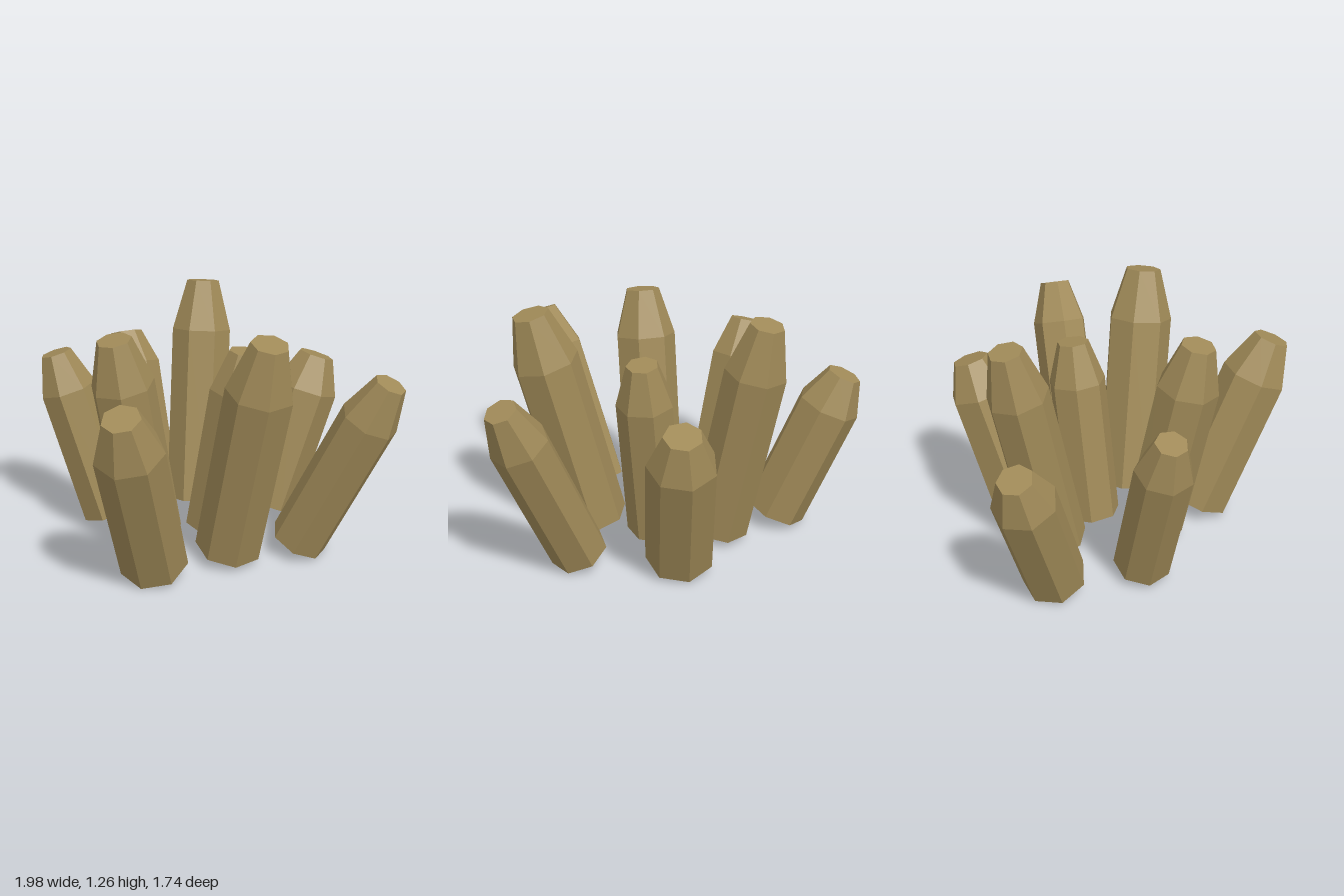
import * as THREE from 'three';

const SIDES = 7;
const UP = new THREE.Vector3(0, 1, 0);

// name, centre of the foot, centre of the tip, radius, direction of one corner (degrees from +x towards +z)
const CRYSTALS = [
  ['backCrystal', [0.04, 0.07, -0.49], [0.11, 0.88, -0.77], 0.175, 12.9],
  ['backLeftCrystal', [0.52, 0.07, -0.3], [0.91, 0.99, -0.51], 0.15, 0],
  ['centreCrystal', [0.06, 0.04, -0.1], [0.16, 1.02, -0.22], 0.15, 12.9],
  ['backRightCrystal', [-0.25, 0.06, -0.22], [-0.42, 1.24, -0.405], 0.16, 11],
  ['leftCrystal', [0.36, 0.07, 0.04], [0.66, 1.24, 0.05], 0.172, 25.7],
  ['rightCrystal', [-0.595, 0.07, -0.14], [-0.915, 0.855, -0.23], 0.165, 0],
  ['frontRightCrystal', [-0.38, 0.07, 0.27], [-0.6, 0.95, 0.44], 0.15, -2],
  ['frontCrystal', [-0.02, 0.07, 0.255], [-0.02, 1.17, 0.465], 0.163, 38.6],
  ['frontLeftCrystal', [0.27, 0.07, 0.45], [0.485, 0.99, 0.78], 0.175, 8.2],
];

// Seven-sided prism with a tapered, cut-off tip, leaning from foot to tip
function makeCrystal([name, foot, tip, radius, corner], material) {
  const base = new THREE.Vector3(...foot);
  const axis = new THREE.Vector3(...tip).sub(base);
  const height = axis.length();
  const profile = [
    [0, 0], [radius, 0], [radius, height * 0.78], [radius * 0.55, height], [0, height],
  ].map(([x, y]) => new THREE.Vector2(x, y));
  const start = THREE.MathUtils.degToRad(90 - corner);
  const mesh = new THREE.Mesh(new THREE.LatheGeometry(profile, SIDES, start), material);
  mesh.name = name;
  mesh.position.copy(base);
  mesh.quaternion.setFromUnitVectors(UP, axis.normalize());
  return mesh;
}

export function createModel() {
  const group = new THREE.Group();
  group.name = 'crystalCluster';
  const material = new THREE.MeshStandardMaterial({ color: 0xa08a58, flatShading: true });
  for (const crystal of CRYSTALS) group.add(makeCrystal(crystal, material));
  return group;
}
